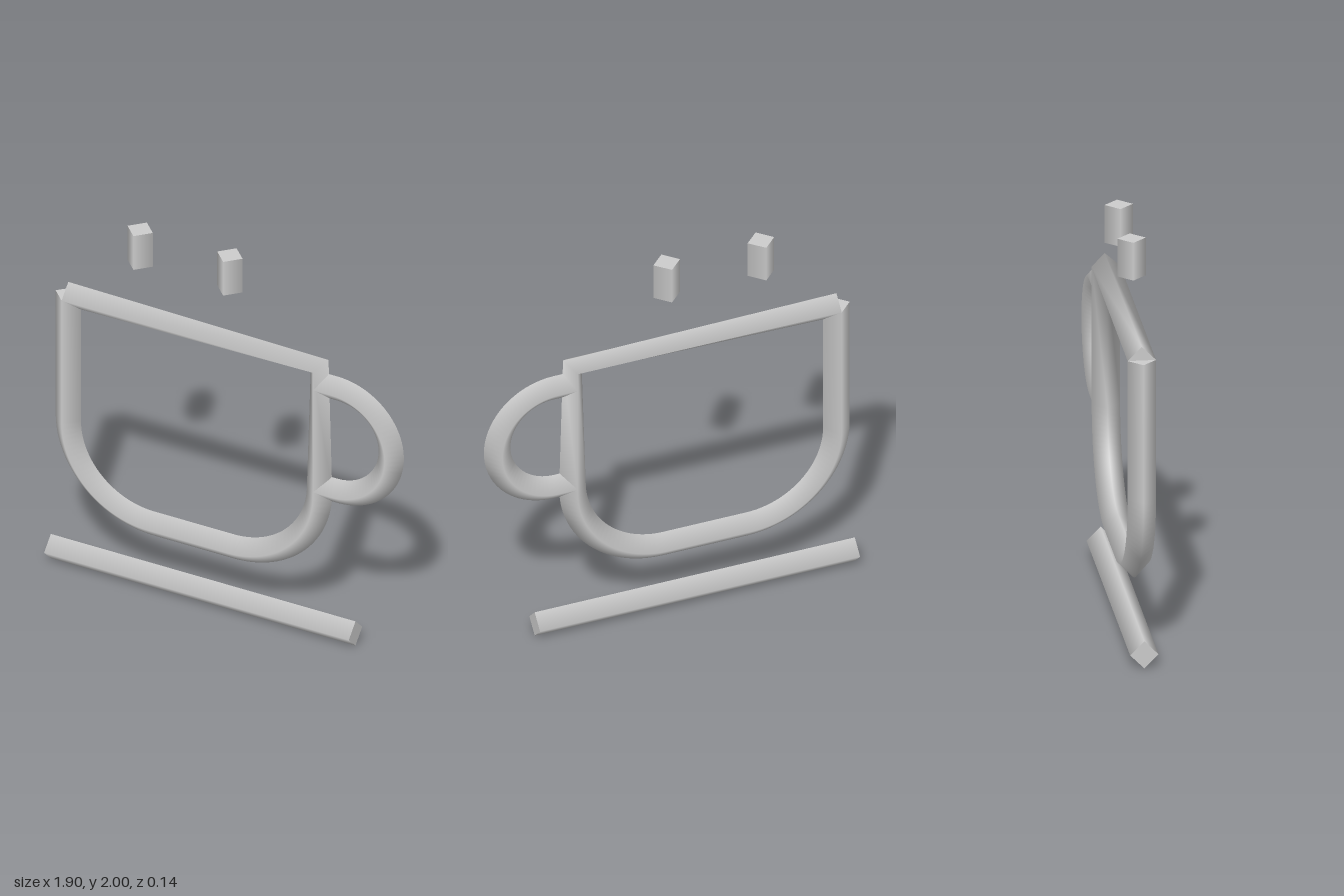
import * as THREE from 'three';

const R = 0.068; // half diagonal of the diamond section

// Sweep a smooth-shaded diamond section along a planar path, with flat end caps
function diamondTube(points) {
  const pos = [], nor = [], idx = [];
  const last = points.length - 1;
  const Z = new THREE.Vector3(0, 0, 1);
  const tangents = points.map((p, i) => {
    const t = new THREE.Vector2();
    if (i > 0) t.add(p.clone().sub(points[i - 1]).normalize());
    if (i < last) t.add(points[i + 1].clone().sub(p).normalize());
    return t.normalize();
  });
  const addRing = (i, capSign) => {
    const p = points[i], t = tangents[i];
    const side = new THREE.Vector3(-t.y, t.x, 0);
    for (let j = 0; j < 4; j++) {
      const a = j * Math.PI / 2;
      const d = side.clone().multiplyScalar(Math.cos(a)).addScaledVector(Z, Math.sin(a));
      pos.push(p.x + R * d.x, p.y + R * d.y, R * d.z);
      if (capSign) nor.push(capSign * t.x, capSign * t.y, 0);
      else nor.push(d.x, d.y, d.z);
    }
  };
  points.forEach((_, i) => addRing(i, 0));
  for (let i = 0; i < last; i++) {
    for (let j = 0; j < 4; j++) {
      const a = i * 4 + j, b = i * 4 + (j + 1) % 4;
      idx.push(a, b, a + 4, b, b + 4, a + 4);
    }
  }
  const s = (last + 1) * 4, e = s + 4;
  addRing(0, -1);
  addRing(last, 1);
  idx.push(s, s + 2, s + 1, s, s + 3, s + 2, e, e + 1, e + 2, e, e + 2, e + 3);
  const geo = new THREE.BufferGeometry();
  geo.setAttribute('position', new THREE.Float32BufferAttribute(pos, 3));
  geo.setAttribute('normal', new THREE.Float32BufferAttribute(nor, 3));
  geo.setIndex(idx);
  return geo;
}

const pt = (x, y) => new THREE.Vector2(x, y);

// Points along a circular arc, angles in units of pi
function arc(cx, cy, r, from, to, n) {
  return Array.from({ length: n + 1 }, (_, i) => {
    const a = Math.PI * (from + (to - from) * i / n);
    return pt(cx + r * Math.cos(a), cy + r * Math.sin(a));
  });
}

export function createModel() {
  const group = new THREE.Group();
  const grey = new THREE.MeshStandardMaterial({ color: 0xcccccc });
  grey.name = 'light grey';
  const add = (name, points) => {
    const mesh = new THREE.Mesh(diamondTube(points), grey);
    mesh.name = name;
    group.add(mesh);
  };

  // Cup outline: rim, right wall, rounded bottom, left wall
  const left = -0.858, right = 0.492, rim = 1.52, bottom = 0.365, r = 0.46;
  add('cupOutline', [
    pt(left, rim), pt(right, rim),
    ...arc(right - r, bottom + r, r, 0, -0.5, 24),
    ...arc(left + r, bottom + r, r, -0.5, -1, 24),
    pt(left, rim),
  ]);

  // Handle: half circle with short straight ends
  const hy = 1.134, hr = 0.288;
  add('handle', [
    pt(right, hy + hr),
    ...arc(0.589, hy, hr, 0.5, -0.5, 36),
    pt(right, hy - hr),
  ]);

  // Saucer line under the cup
  add('saucer', [pt(-0.952, 0.071), pt(0.685, 0.071)]);

  // Two steam marks above the cup
  [-0.472, 0.01].forEach((x, i) => add('steam' + (i + 1), [pt(x, 1.81), pt(x, 2)]));

  return group;
}
